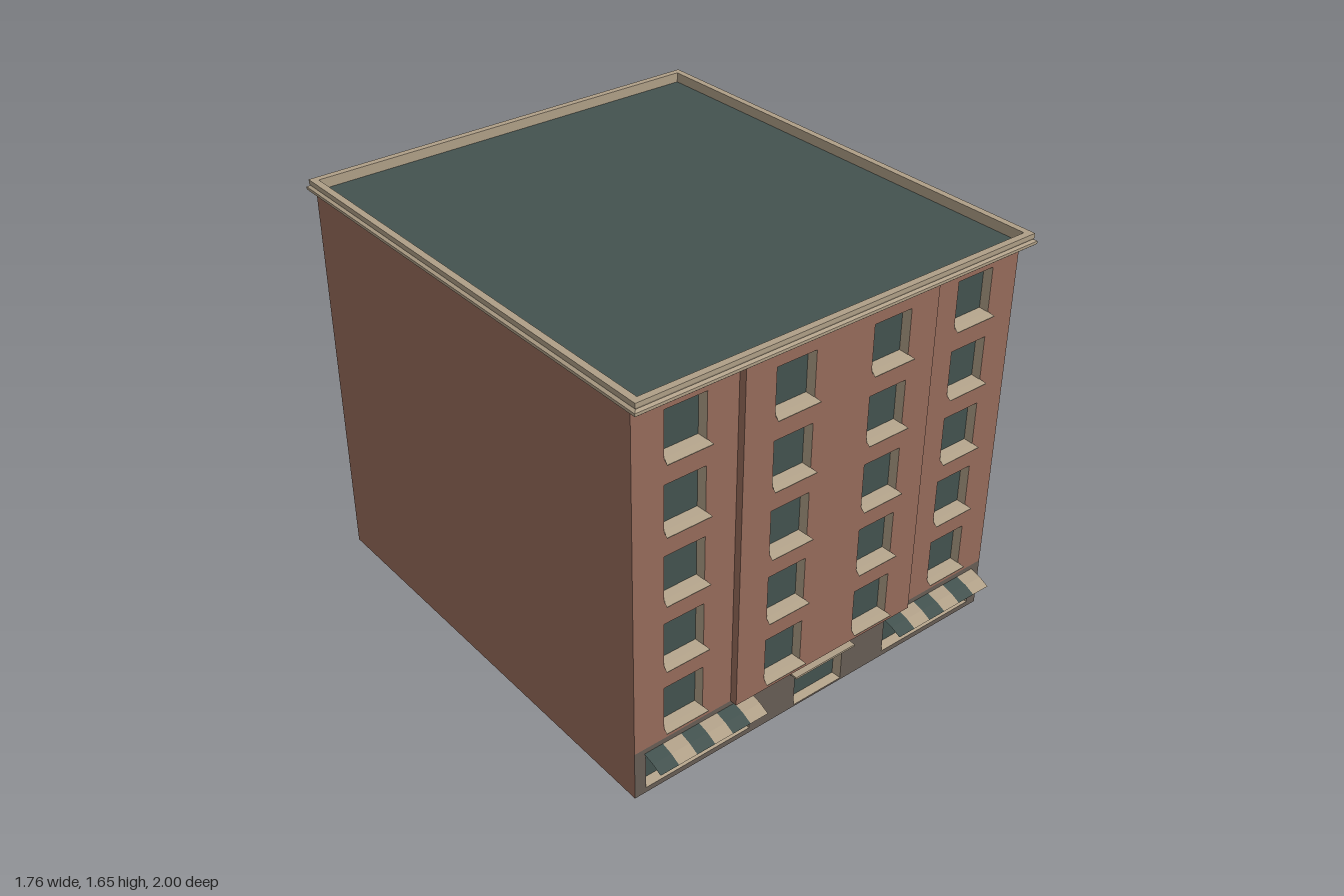
import * as THREE from 'three';

const mat = (name, color) => {
  const m = new THREE.MeshStandardMaterial({ color, side: THREE.DoubleSide });
  m.name = name;
  return m;
};

// Flat-shaded sheet made of four-cornered faces
function quads(list) {
  const pos = [];
  for (const [a, b, c, d] of list) pos.push(...a, ...b, ...c, ...a, ...c, ...d);
  const g = new THREE.BufferGeometry();
  g.setAttribute('position', new THREE.Float32BufferAttribute(pos, 3));
  g.computeVertexNormals();
  return g;
}

// Upright panel facing +z with rectangular holes, each [x0, x1, y0, y1]
function panel([x0, x1, y0, y1], holes) {
  const trace = (p, [a, b, c, d]) => {
    p.moveTo(a, c); p.lineTo(b, c); p.lineTo(b, d); p.lineTo(a, d); p.closePath();
    return p;
  };
  const s = trace(new THREE.Shape(), [x0, x1, y0, y1]);
  s.holes = holes.map(h => trace(new THREE.Path(), h));
  return new THREE.ShapeGeometry(s);
}

export function createModel() {
  const brick = mat('brick', 0x966b5b);
  const stone = mat('cream stone', 0xaf9f87);
  const slate = mat('dark slate', 0x43524f);
  const base = mat('grey brown base', 0x675d55);

  const W = 0.854, BAY = 0.427, BACK = -0.975, FRONT = 0.91, BAYZ = 0.94;
  const BASE = 0.205, TOP = 1.603, DEPTH = 0.032;

  const model = new THREE.Group();
  model.name = 'apartmentBuilding';
  const add = (name, geo, m, parent = model) => {
    const mesh = new THREE.Mesh(geo, m);
    mesh.name = name;
    parent.add(mesh);
    return mesh;
  };

  // Splayed reveal with a recessed pane; sill juts out in front when asked for
  function opening(name, [x0, x1, y0, y1], z, inset, sill) {
    const g = new THREE.Group();
    g.name = name;
    g.position.z = z;
    model.add(g);
    const ring = (i, zz) => [[x0 + i, y0 + i, zz], [x1 - i, y0 + i, zz], [x1 - i, y1 - i * 0.5, zz], [x0 + i, y1 - i * 0.5, zz]];
    const o = ring(0, 0), n = ring(inset, -DEPTH);
    add('reveal', quads(o.map((p, i) => [p, o[(i + 1) % 4], n[(i + 1) % 4], n[i]])), stone, g);
    add('pane', quads([n]), slate, g);
    if (sill) {
      const e = 0.008, a = y0 + 0.002, b = y0 - 0.007;
      add('sill', quads([
        [[x0, a, 0], [x1, a, 0], [x1 + e, b, 0.025], [x0 - e, b, 0.025]],
        [[x0, a - 0.004, 0], [x1, a - 0.004, 0], [x1 + e, b - 0.003, 0.025], [x0 - e, b - 0.003, 0.025]],
        [[x0 - e, b - 0.003, 0.025], [x1 + e, b - 0.003, 0.025], [x1 + e, b, 0.025], [x0 - e, b, 0.025]],
      ]), stone, g);
    }
  }

  // Side and back walls, open underneath
  add('outerWalls', quads([
    [[W, 0, FRONT], [W, 0, BACK], [W, TOP, BACK], [W, TOP, FRONT]],
    [[W, 0, BACK], [-W, 0, BACK], [-W, TOP, BACK], [W, TOP, BACK]],
    [[-W, 0, BACK], [-W, 0, FRONT], [-W, TOP, FRONT], [-W, TOP, BACK]],
  ]), brick);

  // Upper facade: five rows of windows, middle bay stands forward
  const rects = x => Array.from({ length: 5 }, (_, r) => {
    const top = 0.433 + r * 0.2775;
    return [x - 0.085, x + 0.085, top - 0.178, top];
  });
  const facade = (name, x0, x1, z, columns) => {
    const holes = columns.flatMap(rects);
    add(name, panel([x0, x1, BASE, TOP], holes), brick).position.z = z;
    holes.forEach(h => opening('window', h, z, 0.009, true));
  };
  facade('rightFacade', -W, -BAY, FRONT, [-0.641]);
  facade('middleBay', -BAY, BAY, BAYZ, [-0.2135, 0.2135]);
  facade('leftFacade', BAY, W, FRONT, [0.641]);
  add('bayReturns', quads([
    [[BAY, BASE, BAYZ], [BAY, BASE, FRONT], [BAY, TOP, FRONT], [BAY, TOP, BAYZ]],
    [[-BAY, BASE, FRONT], [-BAY, BASE, BAYZ], [-BAY, TOP, BAYZ], [-BAY, TOP, FRONT]],
    [[-BAY, BASE, FRONT], [BAY, BASE, FRONT], [BAY, BASE, BAYZ], [-BAY, BASE, BAYZ]],
  ]), brick);

  // Ground floor with shop windows and entrance
  const shops = [-0.57, 0.57].map(x => [x - 0.236, x + 0.236, 0.022, 0.168]);
  const door = [-0.118, 0.118, 0.008, 0.165];
  add('groundFloor', panel([-W, W, 0, BASE], [...shops, door]), base).position.z = FRONT;
  shops.forEach(h => opening('shopWindow', h, FRONT, 0.013, false));
  opening('entrance', door, FRONT, 0.011, false);

  // Entrance hood in two steps
  [[0.292, 0.008, 0.036, 0.176], [0.268, 0.01, 0.024, 0.167]].forEach(([w, h, d, y]) =>
    add('entranceHood', new THREE.BoxGeometry(w, h, d), stone).position.set(0, y, FRONT + d / 2));

  // Striped awnings, gently curved
  const curve = [[0.91, 0.184], [0.957, 0.172], [0.999, 0.152]];
  for (const cx of [-0.57, 0.57]) {
    const awning = new THREE.Group();
    awning.name = 'awning';
    model.add(awning);
    const step = 0.484 / 6;
    for (let i = 0; i < 6; i++) {
      const a = cx - 0.242 + i * step, b = a + step;
      add('awningStripe', quads([0, 1].map(k => {
        const [z0, y0] = curve[k], [z1, y1] = curve[k + 1];
        return [[a, y1, z1], [b, y1, z1], [b, y0, z0], [a, y0, z0]];
      })), i % 2 ? stone : slate, awning);
    }
  }

  // Mitred cornice and parapet: profile of [offset, y] carried round the roof
  const profile = [[-0.035, 1.6], [0.018, 1.6], [0.025, 1.606], [0.025, 1.617], [0.014, 1.623],
    [0.017, 1.63], [0.017, 1.646], [-0.01, 1.646], [-0.01, 1.604]];
  const corners = ([o, y]) => [[-W - o, y, BAYZ + o], [W + o, y, BAYZ + o], [W + o, y, BACK - o], [-W - o, y, BACK - o]];
  const faces = [];
  for (let i = 0; i < profile.length - 1; i++) {
    const p = corners(profile[i]), q = corners(profile[i + 1]);
    for (let k = 0; k < 4; k++) faces.push([p[k], p[(k + 1) % 4], q[(k + 1) % 4], q[k]]);
  }
  add('cornice', quads(faces), stone);

  // Flat roof inside the parapet
  add('roof', quads([corners([-0.01, 1.606])]), slate);

  return model;
}
